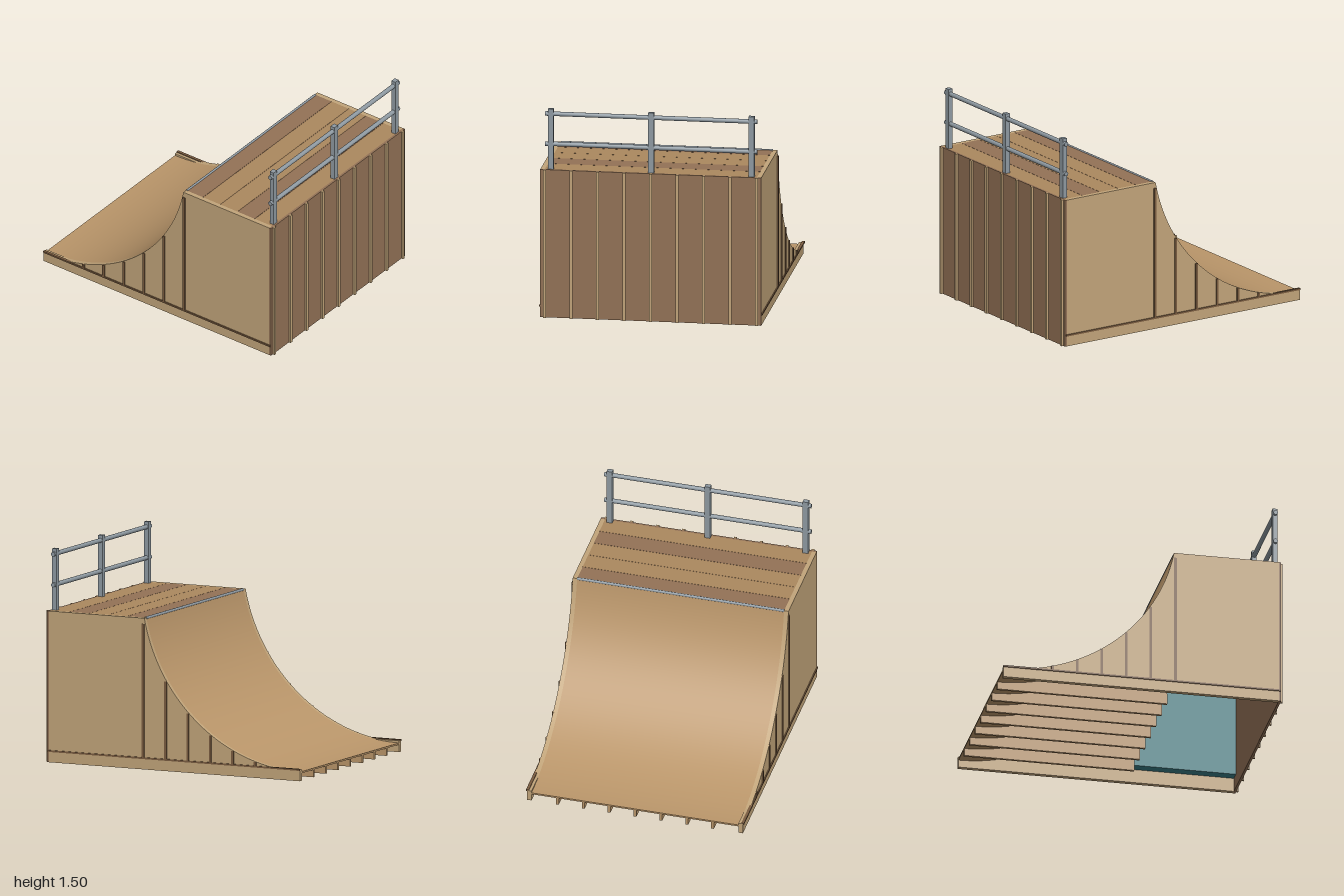
import * as THREE from 'three';
import { toCreasedNormals } from 'three/addons/utils/BufferGeometryUtils.js';

const mat = (color) => new THREE.MeshStandardMaterial({ color });
const TAN = mat(0xc2a57a), PLY = mat(0xba966a), PLANK = mat(0xab885f), DARK = mat(0x937256);
const TRIM = mat(0x7a5c40), STEEL = mat(0x8f9aa2), TEAL = mat(0x3a7f86);

// Circular transition: lip at z = 0.22, toe at z = -1
const LIP = 0.22, TOE = -1, DECK = 1.07, TOE_Y = 0.065, R = 1.243;
const curveY = (z) => TOE_Y + R - Math.sqrt(R * R - (z - TOE) ** 2);

// Points on the arc from lip to toe, moved outward by an offset
function arc(offset = 0, steps = 40) {
  const end = Math.asin((LIP - TOE) / R), points = [];
  for (let i = 0; i <= steps; i++) {
    const a = end * (1 - i / steps), r = R + offset;
    points.push(new THREE.Vector2(TOE + r * Math.sin(a), TOE_Y + R - r * Math.cos(a)));
  }
  return points;
}

// Extrudes a (z, y) outline across x, centred on x
function profile(points, x, width) {
  const geo = new THREE.ExtrudeGeometry(new THREE.Shape(points), { depth: width, bevelEnabled: false });
  geo.rotateY(-Math.PI / 2);
  geo.translate(x + width / 2, 0, 0);
  return toCreasedNormals(geo, 0.5);
}

export function createModel() {
  const model = new THREE.Group();
  const add = (name, geo, material, x = 0, y = 0, z = 0) => {
    const mesh = new THREE.Mesh(geo, material);
    mesh.name = name;
    mesh.position.set(x, y, z);
    model.add(mesh);
    return mesh;
  };
  // Box given by its lower and upper corners
  const box = (name, material, x0, x1, y0, y1, z0, z1) =>
    add(name, new THREE.BoxGeometry(x1 - x0, y1 - y0, z1 - z0), material,
      (x0 + x1) / 2, (y0 + y1) / 2, (z0 + z1) / 2);
  const V = (z, y) => new THREE.Vector2(z, y);

  // Side walls with base rails, battens and inner panels
  for (const s of [-1, 1]) {
    const side = (name, material, a, b, ...rest) =>
      box(name, material, Math.min(s * a, s * b), Math.max(s * a, s * b), ...rest);
    add('sideWall', profile([V(TOE, 0), V(0.97, 0), V(0.97, DECK), ...arc()], s * 0.766, 0.032), TAN);
    side('baseRail', TAN, 0.75, 0.782, 0, 0.08, TOE, 0.97);
    side('baseTrim', TRIM, 0.77, 0.79, 0.074, 0.086, TOE, 0.98);
    for (let i = 0; i < 6; i++) {
      const z = 0.228 - i * 0.1755;
      side('sideBatten', TRIM, 0.775, 0.79, 0.08, Math.min(1.03, curveY(z - 0.008)), z - 0.009, z + 0.009);
    }
    side('innerPanel', TEAL, 0.68, 0.75, 0.1, 1.03, LIP, 0.968);
  }

  // Ribs below the riding surface
  const underside = arc(0.01).filter((p) => p.x <= LIP);
  for (let i = -3; i <= 3; i++) {
    add('rib', profile([V(TOE, 0), V(LIP - 0.005, 0), ...underside], i * 0.1875, 0.02), PLY);
  }

  // Curved riding surface
  add('ridingSurface', profile([...arc(), ...arc(0.012).reverse()], 0, 1.5), PLY);

  // Front wall and battens
  box('frontWall', DARK, -0.782, 0.782, 0, DECK, 0.968, 0.985);
  for (let i = -4; i <= 4; i++) {
    const x = i * 0.1875;
    box('frontBatten', TAN, x - 0.01, x + 0.01, 0, DECK, 0.98, 1);
  }

  // Deck planks
  [DARK, PLANK, PLANK, DARK, PLANK].forEach((material, i) => {
    const z = LIP + i * 0.15;
    box('deckPlank', material, -0.75, 0.75, DECK - 0.025, DECK, z, z + 0.148);
  });

  // Pipes along x: coping and guard rails
  const pipe = (name, r, length, y, z) => {
    const geo = new THREE.CylinderGeometry(r, r, length, 16);
    geo.rotateZ(Math.PI / 2);
    add(name, geo, STEEL, 0, y, z);
  };
  pipe('coping', 0.01, 1.5, DECK - 0.004, LIP + 0.006);
  pipe('guardRail', 0.016, 1.5, 1.25, 0.953);
  pipe('guardRail', 0.016, 1.5, 1.468, 0.953);
  for (const x of [-0.71, 0, 0.71]) {
    box('guardPost', STEEL, x - 0.02, x + 0.02, DECK, 1.505, 0.936, 0.97);
  }
  return model;
}
